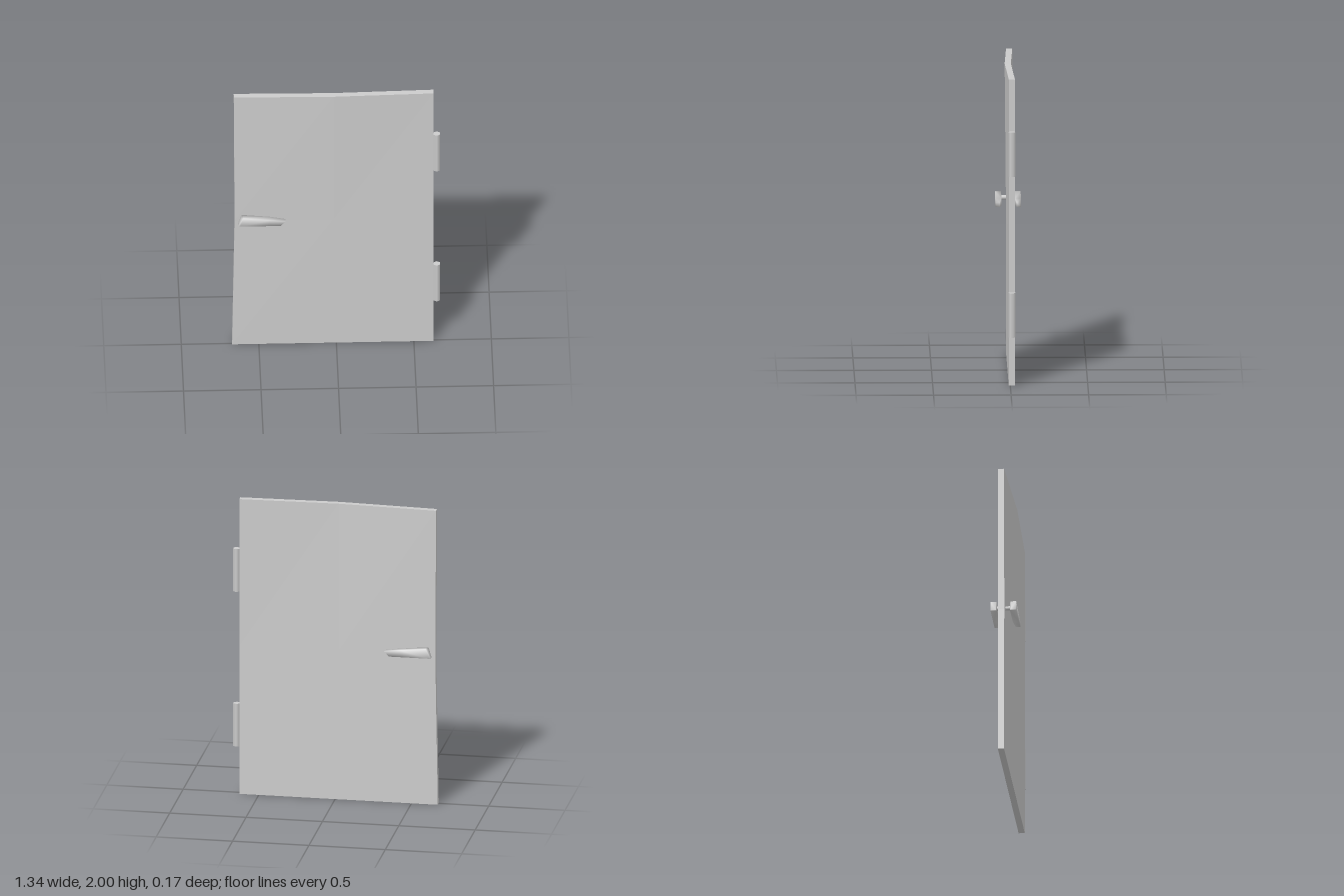
import * as THREE from 'three';
import { mergeVertices } from 'three/addons/utils/BufferGeometryUtils.js';

const grey = (opts = {}) => new THREE.MeshStandardMaterial({ color: 0xcccccc, ...opts });

function addMesh(parent, name, geometry, material) {
  const mesh = new THREE.Mesh(geometry, material);
  mesh.name = name;
  parent.add(mesh);
  return mesh;
}

// Move every vertex of a geometry by a rule
function warp(geometry, rule) {
  const pos = geometry.attributes.position;
  const v = new THREE.Vector3();
  for (let i = 0; i < pos.count; i++) {
    rule(v.fromBufferAttribute(pos, i));
    pos.setXYZ(i, v.x, v.y, v.z);
  }
  geometry.computeVertexNormals();
  return geometry;
}

// Warped panel: the middle bows forward towards the top, the free edge is uneven
function panelGeometry() {
  const freeEdge = [-0.672, -0.656, -0.661];
  return warp(new THREE.BoxGeometry(2, 2, 0.04, 2, 2, 1), (v) => {
    const row = Math.round(v.y + 1);
    const bow = Math.abs(v.x) < 0.5 ? 0.009 * row : 0;
    const free = v.x < -0.5;
    v.z += bow - 0.01;
    v.x = free ? freeEdge[row] : v.x > 0.5 ? 0.627 : -0.02;
    v.y = row - (free && row === 2 ? 0.006 : 0);
  });
}

// Tapered lever with slanted ends; the inner face thins towards the tip
function leverGeometry() {
  const bottomX = [-0.635, -0.622, -0.44, -0.36];
  const topX = [-0.615, -0.602, -0.43, -0.33];
  const topY = [1.07, 1.069, 1.051, 1.04];
  const innerZ = [0.047, 0.043, 0.043, 0.055];
  let geometry = new THREE.BoxGeometry(3, 1, 1, 3, 1, 1);
  geometry.deleteAttribute('uv');
  geometry.deleteAttribute('normal');
  geometry = mergeVertices(geometry);
  return warp(geometry, (v) => {
    const i = Math.round(v.x + 1.5);
    const top = v.y > 0;
    v.set(top ? topX[i] : bottomX[i], top ? topY[i] : 1.005, v.z > 0 ? 0.083 : innerZ[i]);
  });
}

export function createModel() {
  const model = new THREE.Group();
  model.name = 'door';

  addMesh(model, 'doorPanel', panelGeometry(), grey({ flatShading: true }));

  // Hexagonal hinge barrels
  for (const [name, y] of [['lowerHinge', 0.465], ['upperHinge', 1.515]]) {
    const hinge = addMesh(model, name, new THREE.CylinderGeometry(0.024, 0.024, 0.29, 6), grey());
    hinge.position.set(0.648, y, -0.01);
  }

  // Handle: spindle through the panel with a lever on each side
  const handle = new THREE.Group();
  handle.name = 'handle';
  model.add(handle);
  const spindle = addMesh(handle, 'spindle', new THREE.CylinderGeometry(0.015, 0.015, 0.1, 8), grey());
  spindle.rotation.x = Math.PI / 2;
  spindle.position.set(-0.59, 1.032, 0);

  addMesh(handle, 'frontLever', leverGeometry(), grey());

  // Mirror the lever to the back, keeping its faces outward
  const back = leverGeometry();
  back.scale(1, 1, -1);
  back.setIndex(Array.from(back.index.array).reverse());
  back.computeVertexNormals();
  addMesh(handle, 'backLever', back, grey());

  return model;
}
